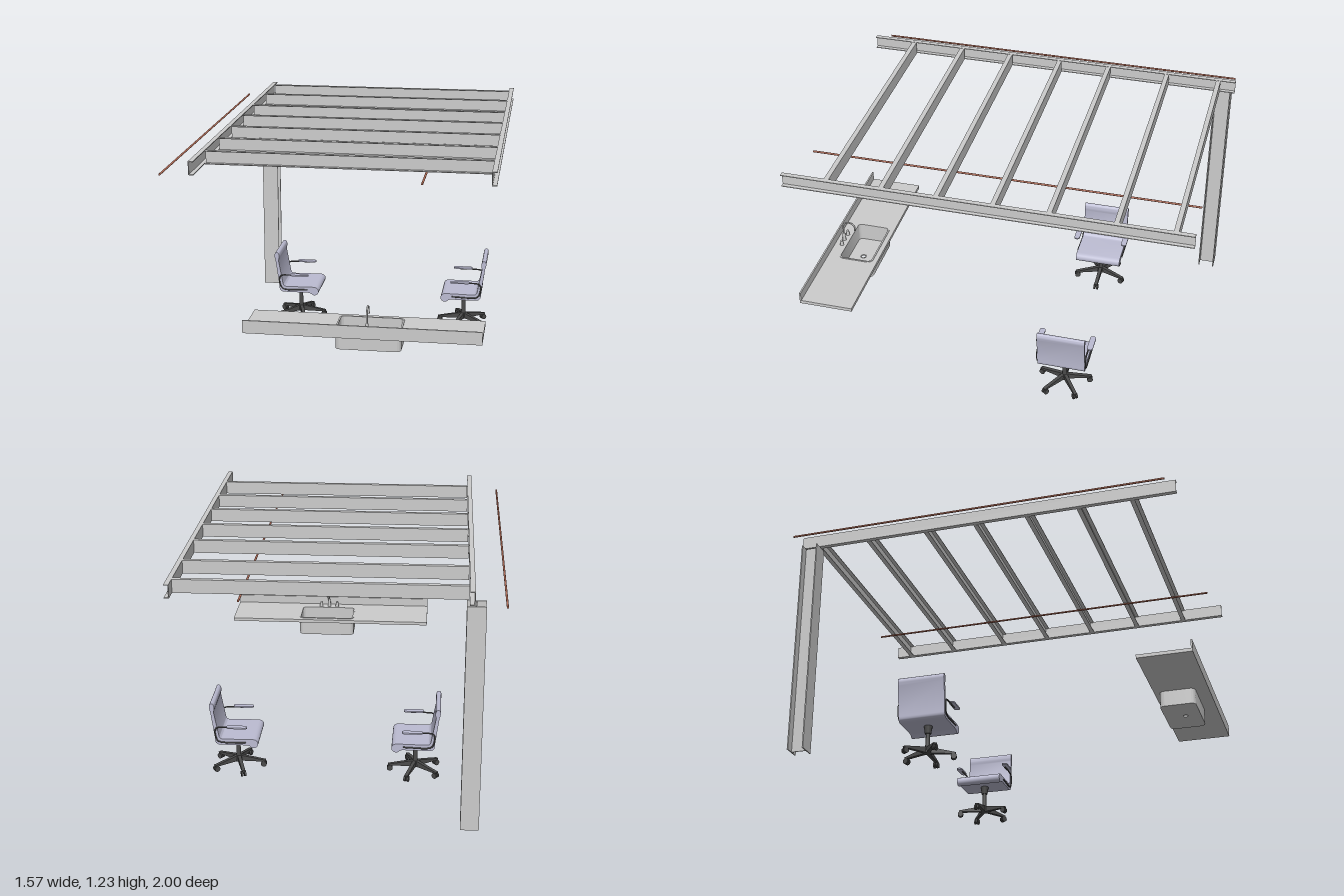
import * as THREE from 'three';
import { toCreasedNormals } from 'three/addons/utils/BufferGeometryUtils.js';

const mat = (color) => new THREE.MeshStandardMaterial({ color });
const grey = mat(0xcccccc);
const copper = mat(0xb8705a);
const fabric = mat(0xbcbcd2);
const dark = mat(0x4a4a4a);

function add(parent, name, geometry, material, x = 0, y = 0, z = 0) {
  const mesh = new THREE.Mesh(geometry, material);
  mesh.name = name;
  mesh.position.set(x, y, z);
  parent.add(mesh);
  return mesh;
}

// Extrusion along z, centred on z = 0
function extrude(shape, depth) {
  const g = new THREE.ExtrudeGeometry(shape, { depth, bevelEnabled: false, curveSegments: 8 });
  g.translate(0, 0, -depth / 2);
  return toCreasedNormals(g, 0.6);
}

// Horizontal slab from a plan shape drawn in (x, -z), centred on y = 0
const slab = (shape, height) => extrude(shape, height).rotateX(-Math.PI / 2);

const polygon = (pts) => new THREE.Shape(pts.map(([x, y]) => new THREE.Vector2(x, y)));

function roundedRect(x0, y0, x1, y1, r, Type = THREE.Shape) {
  const s = new Type();
  s.moveTo(x0 + r, y0);
  s.lineTo(x1 - r, y0);
  s.absarc(x1 - r, y0 + r, r, -Math.PI / 2, 0, false);
  s.lineTo(x1, y1 - r);
  s.absarc(x1 - r, y1 - r, r, 0, Math.PI / 2, false);
  s.lineTo(x0 + r, y1);
  s.absarc(x0 + r, y1 - r, r, Math.PI / 2, Math.PI, false);
  s.lineTo(x0, y0 + r);
  s.absarc(x0 + r, y0 + r, r, Math.PI, Math.PI * 1.5, false);
  return s;
}

// C-section steel, running along z and open towards +x
function channel(length) {
  const w = 0.024, h = 0.066, t = 0.004;
  return extrude(polygon([[0, 0], [w, 0], [w, t], [t, t], [t, h - t], [w, h - t], [w, h], [0, h]]), length);
}

function createFrame() {
  const frame = new THREE.Group();
  frame.name = 'ceilingFrame';
  const beam = channel(2);
  add(frame, 'rightBeam', beam, grey, -0.637, 1.16, 0);
  add(frame, 'leftBeam', beam, grey, 0.759, 1.16, 0);

  const joist = channel(1.37).rotateY(-Math.PI / 2);
  for (const z of [-0.91, -0.635, -0.317, -0.048, 0.228, 0.5, 0.775]) {
    add(frame, 'joist', joist, grey, 0.074, 1.16, z - 0.012);
  }

  // I-section column: two flanges and a web
  const column = new THREE.Group();
  column.name = 'column';
  column.position.set(-0.645, 0.574, -0.938);
  const flange = new THREE.BoxGeometry(0.09, 1.148, 0.006);
  for (const side of [-1, 1]) add(column, 'columnFlange', flange, grey, 0, 0, side * 0.04);
  add(column, 'columnWeb', new THREE.BoxGeometry(0.005, 1.148, 0.076), grey);
  frame.add(column);

  const pipe = new THREE.CylinderGeometry(0.005, 0.005, 1.955, 12).rotateX(Math.PI / 2);
  for (const x of [-0.783, 0.443]) add(frame, 'pipe', pipe, copper, x, 1.15, -0.008);
  return frame;
}

function createCounter() {
  const counter = new THREE.Group();
  counter.name = 'counter';

  // Worktop with the sink cut-out
  const top = polygon([[-0.4, -0.995], [0.736, -0.995], [0.736, -0.718], [-0.4, -0.718]]);
  top.holes.push(roundedRect(0.037, -0.926, 0.344, -0.75, 0.022, THREE.Path));
  add(counter, 'worktop', slab(top, 0.018), grey, 0, 0.405, 0);
  add(counter, 'backsplash', new THREE.BoxGeometry(1.136, 0.064, 0.008), grey, 0.168, 0.428, 0.995);

  // Basin walls, floor and drain
  const wall = roundedRect(0.032, -0.931, 0.349, -0.745, 0.027);
  wall.holes.push(roundedRect(0.037, -0.926, 0.344, -0.75, 0.022, THREE.Path));
  add(counter, 'basinWall', slab(wall, 0.085), grey, 0, 0.3555, 0);
  const floor = roundedRect(0.032, -0.931, 0.349, -0.745, 0.027);
  floor.holes.push(new THREE.Path().absarc(0.19, -0.852, 0.013, 0, Math.PI * 2, true));
  add(counter, 'basinFloor', slab(floor, 0.005), grey, 0, 0.3155, 0);
  const rim = roundedRect(0.031, -0.932, 0.35, -0.744, 0.028);
  rim.holes.push(roundedRect(0.039, -0.924, 0.342, -0.752, 0.02, THREE.Path));
  add(counter, 'basinRim', slab(rim, 0.004), grey, 0, 0.415, 0);
  add(counter, 'drainRing', new THREE.TorusGeometry(0.014, 0.002, 6, 20).rotateX(Math.PI / 2), grey, 0.19, 0.319, 0.852);

  // Gooseneck tap with two handles
  const neck = new THREE.CurvePath();
  const v = (y, z) => new THREE.Vector3(0.19, y, z);
  neck.add(new THREE.LineCurve3(v(0.415, 0.955), v(0.5, 0.955)));
  neck.add(new THREE.CubicBezierCurve3(v(0.5, 0.955), v(0.544, 0.955), v(0.544, 0.889), v(0.5, 0.889)));
  neck.add(new THREE.LineCurve3(v(0.5, 0.889), v(0.488, 0.889)));
  add(counter, 'tapNeck', new THREE.TubeGeometry(neck, 40, 0.0045, 10), grey);
  add(counter, 'tapSpout', new THREE.CylinderGeometry(0.005, 0.005, 0.01, 12), grey, 0.19, 0.492, 0.889);
  add(counter, 'tapBase', new THREE.CylinderGeometry(0.007, 0.01, 0.045, 16), grey, 0.19, 0.436, 0.955);
  for (const x of [0.143, 0.237]) {
    add(counter, 'tapHandle', new THREE.CylinderGeometry(0.007, 0.01, 0.028, 16), grey, x, 0.428, 0.952);
  }
  return counter;
}

// Swivel chair facing +x
function createChair() {
  const chair = new THREE.Group();
  chair.name = 'chair';

  // One bent shell with rolled ends for back and seat
  const s = new THREE.Shape();
  s.moveTo(-0.122, 0.362);
  s.bezierCurveTo(-0.132, 0.385, -0.128, 0.405, -0.115, 0.405);
  s.bezierCurveTo(-0.1, 0.404, -0.098, 0.38, -0.105, 0.358);
  s.lineTo(-0.081, 0.225);
  s.quadraticCurveTo(-0.078, 0.208, -0.06, 0.208);
  s.lineTo(0.095, 0.21);
  s.bezierCurveTo(0.13, 0.208, 0.128, 0.162, 0.096, 0.162);
  s.bezierCurveTo(0.082, 0.162, 0.082, 0.176, 0.06, 0.176);
  s.lineTo(-0.076, 0.176);
  s.quadraticCurveTo(-0.104, 0.178, -0.101, 0.21);
  s.lineTo(-0.122, 0.362);
  add(chair, 'seatAndBack', extrude(s, 0.246), fabric);

  // Arm pads and their bent supports
  const pad = slab(roundedRect(-0.053, -0.015, 0.053, 0.015, 0.014), 0.007);
  const points = [[0.03, 0.277], [-0.045, 0.277], [-0.09, 0.272], [-0.1, 0.255], [-0.094, 0.212], [-0.08, 0.195], [0.06, 0.193]];
  for (const side of [-1, 1]) {
    add(chair, 'armPad', pad, fabric, 0.014, 0.281, side * 0.133);
    const path = new THREE.CatmullRomCurve3(points.map(([x, y]) => new THREE.Vector3(x, y, side * 0.126)), false, 'centripetal');
    add(chair, 'armSupport', new THREE.TubeGeometry(path, 36, 0.004, 8), dark);
  }

  // Tilt mechanism and gas lift
  add(chair, 'seatMount', new THREE.CylinderGeometry(0.022, 0.016, 0.042, 16), dark, 0, 0.156, 0);
  add(chair, 'liftPost', new THREE.CylinderGeometry(0.01, 0.013, 0.09, 16), dark, 0, 0.095, 0);
  add(chair, 'baseHub', new THREE.CylinderGeometry(0.018, 0.022, 0.03, 16), dark, 0, 0.045, 0);

  // Five tapered legs, each with a twin-wheel caster
  const legShape = polygon([[0.005, 0.03], [0.14, 0.028], [0.142, 0.036], [0.02, 0.06], [0.005, 0.06]]);
  const legGeometry = extrude(legShape, 0.018);
  const wheel = new THREE.CylinderGeometry(0.015, 0.015, 0.009, 16).rotateX(Math.PI / 2);
  for (let i = 0; i < 5; i++) {
    const leg = new THREE.Group();
    leg.name = 'baseLeg';
    leg.rotation.y = (i * Math.PI * 2) / 5;
    add(leg, 'legArm', legGeometry, dark);
    add(leg, 'casterStem', new THREE.CylinderGeometry(0.004, 0.004, 0.02, 8), dark, 0.132, 0.024, 0);
    for (const side of [-1, 1]) add(leg, 'casterWheel', wheel, dark, 0.132, 0.015, side * 0.008);
    chair.add(leg);
  }
  return chair;
}

export function createModel() {
  const model = new THREE.Group();
  model.name = 'officeKitchenFrame';
  model.add(createFrame(), createCounter());

  const rightChair = createChair();
  rightChair.position.set(-0.367, 0, -0.366);
  const leftChair = createChair();
  leftChair.position.set(0.56, 0, -0.366);
  leftChair.rotation.y = Math.PI;
  model.add(rightChair, leftChair);
  return model;
}
